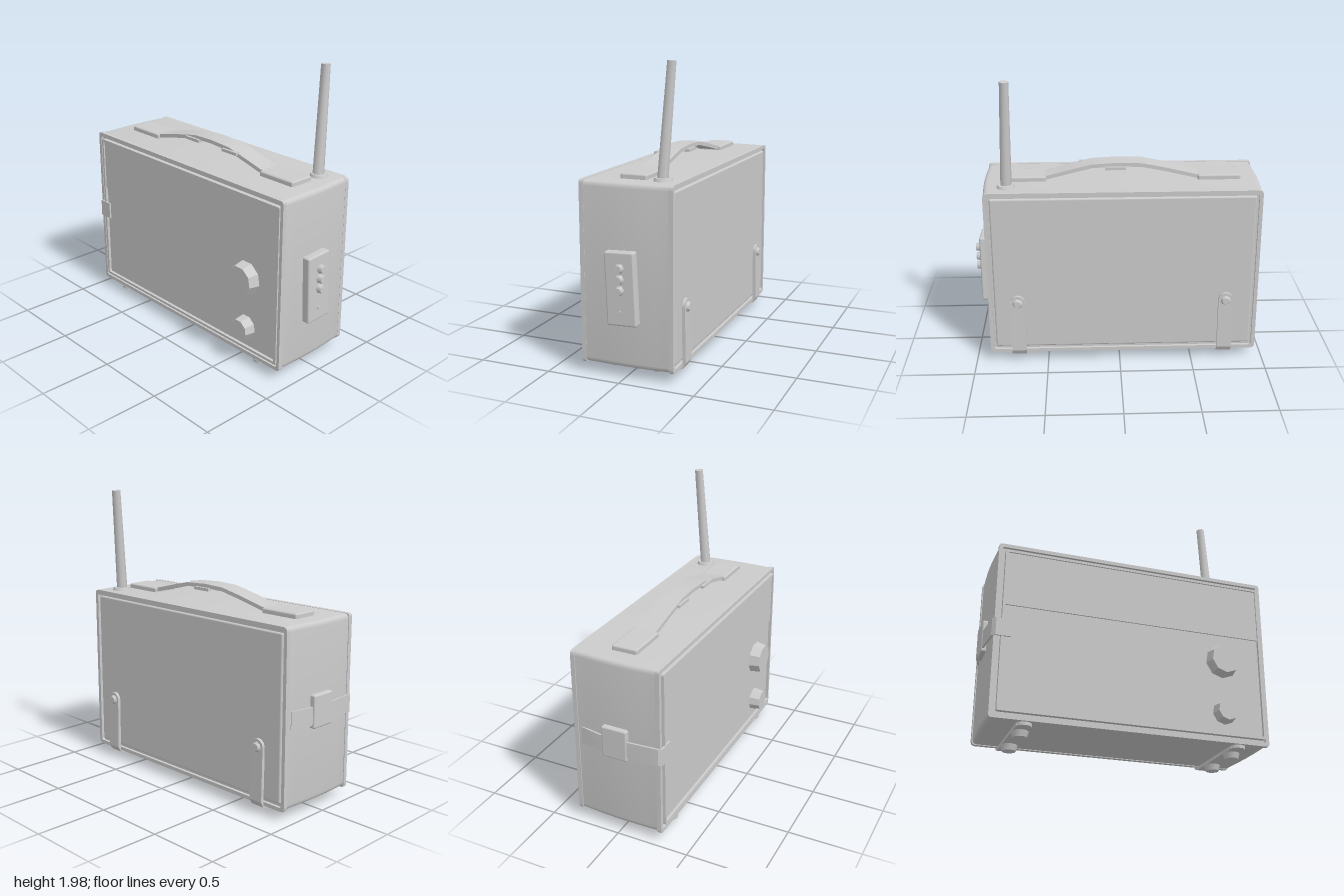
import * as THREE from 'three';
import { toCreasedNormals } from 'three/addons/utils/BufferGeometryUtils.js';
import { RoundedBoxGeometry } from 'three/addons/geometries/RoundedBoxGeometry.js';

const grey = new THREE.MeshStandardMaterial({ color: 0xcccccc });

function add(parent, name, geo, x = 0, y = 0, z = 0) {
  const mesh = new THREE.Mesh(geo, grey);
  mesh.name = name;
  mesh.position.set(x, y, z);
  parent.add(mesh);
  return mesh;
}

// Rounded rectangle between two corners
function roundRect(x0, y0, x1, y1, r, Type = THREE.Shape) {
  const s = new Type();
  s.moveTo(x0 + r, y0);
  s.lineTo(x1 - r, y0);
  s.quadraticCurveTo(x1, y0, x1, y0 + r);
  s.lineTo(x1, y1 - r);
  s.quadraticCurveTo(x1, y1, x1 - r, y1);
  s.lineTo(x0 + r, y1);
  s.quadraticCurveTo(x0, y1, x0, y1 - r);
  s.lineTo(x0, y0 + r);
  s.quadraticCurveTo(x0, y0, x0 + r, y0);
  return s;
}

// Rectangular rim of width w
function rim(x0, y0, x1, y1, r, w, depth) {
  const s = roundRect(x0, y0, x1, y1, r);
  s.holes.push(roundRect(x0 + w, y0 + w, x1 - w, y1 - w, r * 0.6, THREE.Path));
  return new THREE.ExtrudeGeometry(s, { depth, bevelEnabled: false, curveSegments: 3 });
}

// Flat strip of thickness t following a 2D path, centred across its width
function ribbon(points, t, width) {
  const p = points.map(([x, y]) => new THREE.Vector2(x, y));
  const edge = (d) => p.map((v, i) => {
    const tan = p[Math.min(i + 1, p.length - 1)].clone().sub(p[Math.max(i - 1, 0)]).normalize();
    return new THREE.Vector2(v.x - tan.y * d, v.y + tan.x * d);
  });
  const shape = new THREE.Shape([...edge(-t / 2), ...edge(t / 2).reverse()]);
  const geo = new THREE.ExtrudeGeometry(shape, { depth: width, bevelEnabled: false });
  return toCreasedNormals(geo.translate(0, 0, -width / 2), 0.5);
}

export function createModel() {
  const radio = new THREE.Group();
  radio.name = 'portableRadio';

  // Case with softly bulging sides, slightly narrower at the back
  const caseGeo = new THREE.ExtrudeGeometry(roundRect(-0.955, 0.07, 0.91, 1.25, 0.035),
    { depth: 0.585, steps: 6, bevelEnabled: false, curveSegments: 4 });
  caseGeo.translate(0, 0, -0.305);
  const pos = caseGeo.attributes.position;
  for (let i = 0; i < pos.count; i++) {
    const k = (pos.getZ(i) + 0.305) / 0.585;
    const grow = 0.012 * Math.sin(Math.PI * k) - 0.012 * (1 - k);
    pos.setX(i, pos.getX(i) + Math.sign(pos.getX(i)) * grow);
  }
  caseGeo.computeVertexNormals();
  add(radio, 'case', toCreasedNormals(caseGeo, 0.7));

  // Front rims, dial panel and speaker panel
  add(radio, 'frontRim', rim(-0.96, 0.065, 0.912, 1.252, 0.02, 0.025, 0.03), 0, 0, 0.27);
  add(radio, 'frontPanelFrame', rim(-0.915, 0.11, 0.89, 1.21, 0.012, 0.018, 0.04), 0, 0, 0.27);
  add(radio, 'dialPanel', new THREE.BoxGeometry(1.79, 0.375, 0.03), -0.012, 1.007, 0.285);
  add(radio, 'speakerPanel', new THREE.BoxGeometry(1.79, 0.7, 0.02), -0.012, 0.47, 0.28);

  // Back rim and back cover
  add(radio, 'backRim', rim(-0.95, 0.065, 0.9, 1.25, 0.03, 0.025, 0.03), 0, 0, -0.325);
  add(radio, 'backCover', new RoundedBoxGeometry(1.77, 1.1, 0.03, 2, 0.012), -0.025, 0.658, -0.306);

  // Control knobs
  for (const [name, y, r] of [['tuningKnob', 0.63, 0.118], ['volumeKnob', 0.27, 0.083]]) {
    const geo = new THREE.CylinderGeometry(r * 0.86, r, 0.08, 9).rotateX(Math.PI / 2);
    add(radio, name, toCreasedNormals(geo, 0.3), 0.6, y, 0.325);
  }

  // Carrying handle
  const handle = new THREE.Group();
  handle.name = 'handle';
  radio.add(handle);
  add(handle, 'handleStrap', ribbon([[-0.58, 1.267], [-0.52, 1.272], [-0.34, 1.315], [-0.16, 1.352],
    [0, 1.357], [0.18, 1.347], [0.34, 1.308], [0.48, 1.272], [0.54, 1.267]], 0.026, 0.14))
    .position.z = -0.01;
  for (const x of [-0.685, 0.635]) {
    add(handle, 'handleMount', new RoundedBoxGeometry(0.29, 0.045, 0.18, 2, 0.012), x, 1.261, -0.01);
  }
  for (const [x, z] of [[0.02, -0.085], [-0.17, 0.062], [0.2, 0.062]]) {
    add(handle, 'handleTab', new THREE.BoxGeometry(0.14, 0.02, 0.03), x, 1.335, z);
  }

  // Leaning antenna with its socket
  const a = new THREE.Vector3(0.752, 1.24, -0.195);
  const b = new THREE.Vector3(0.73, 1.975, -0.248);
  const dir = b.clone().sub(a);
  const rod = add(radio, 'antenna', toCreasedNormals(
    new THREE.CylinderGeometry(0.03, 0.038, dir.length(), 8), 1), ...a.clone().add(b).multiplyScalar(0.5));
  rod.quaternion.setFromUnitVectors(new THREE.Vector3(0, 1, 0), dir.normalize());
  add(radio, 'antennaSocket', new THREE.CylinderGeometry(0.055, 0.065, 0.025, 10), 0.755, 1.257, -0.2);

  // Socket plate on the left side
  const plate = new THREE.Group();
  plate.name = 'socketPlate';
  radio.add(plate);
  add(plate, 'plate', new RoundedBoxGeometry(0.065, 0.47, 0.2, 2, 0.012), 0.935, 0.595, 0)
    .rotation.x = 0.04;
  for (const y of [0.59, 0.66, 0.73]) {
    add(plate, 'socket', new THREE.CylinderGeometry(0.025, 0.033, 0.04, 6).rotateZ(-Math.PI / 2), 0.98, y, 0);
  }
  add(plate, 'screw', new THREE.CylinderGeometry(0.012, 0.012, 0.01, 6).rotateZ(Math.PI / 2), 0.97, 0.45, 0);

  // Closing strap and clasp on the right side
  const strap = ribbon([[-0.945, -0.27], [-0.975, -0.12], [-0.982, 0.08], [-0.967, 0.29],
    [-0.95, 0.31], [-0.85, 0.31]], 0.012, 0.12).rotateX(Math.PI / 2);
  add(radio, 'sideStrap', strap, 0, 0.655, 0);
  add(radio, 'clasp', new RoundedBoxGeometry(0.045, 0.22, 0.18, 2, 0.012), -0.972, 0.68, -0.01);

  // Angled foot brackets wrapping from the base up the back
  for (const x of [-0.73, 0.7]) {
    const bracket = new THREE.Group();
    bracket.name = 'footBracket';
    bracket.position.x = x;
    radio.add(bracket);
    add(bracket, 'bracketStrip', ribbon([[0.26, 0.05], [-0.29, 0.05], [-0.32, 0.06], [-0.337, 0.09],
      [-0.33, 0.46]], 0.022, 0.1).rotateY(-Math.PI / 2));
    const end = new THREE.CylinderGeometry(0.05, 0.05, 0.022, 12);
    add(bracket, 'bracketEnd', end, 0, 0.05, 0.25);
    add(bracket, 'bracketEnd', end.clone().rotateX(Math.PI / 2), 0, 0.455, -0.33);
    add(bracket, 'bracketScrew', new THREE.CylinderGeometry(0.04, 0.025, 0.025, 8).rotateX(Math.PI / 2),
      0, 0.45, -0.346);
    for (const z of [0.155, -0.15]) {
      add(bracket, 'foot', toCreasedNormals(new THREE.CylinderGeometry(0.058, 0.046, 0.045, 10), 0.8), 0, 0.0225, z);
    }
  }
  return radio;
}
